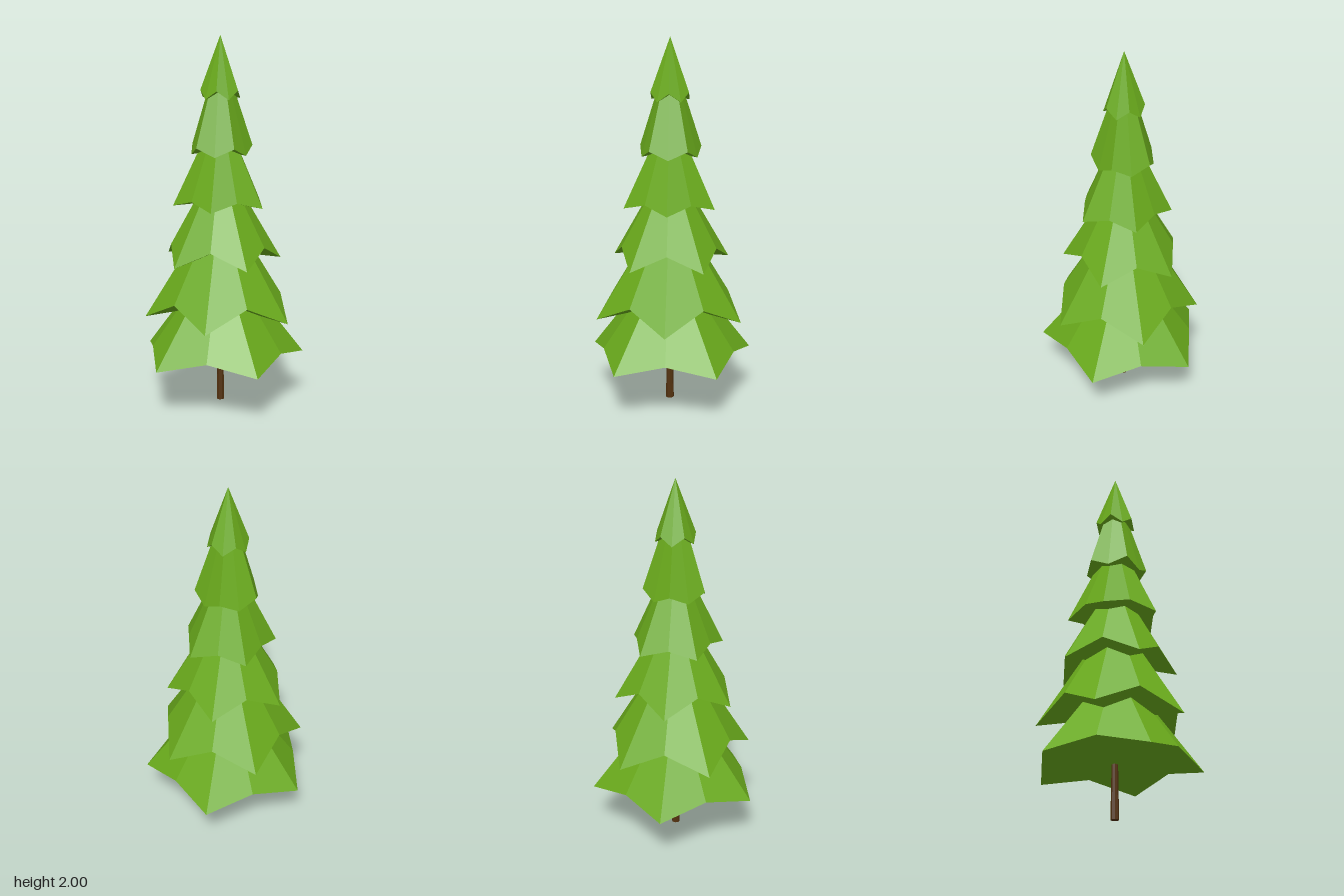
import * as THREE from 'three';

const AXIS_Z = -0.025;

// A ten-sided skirt of branches: five corners alternate with five edge middles.
function makeTier({ cornerR, cornerY, midR, midY, apexY, turned }) {
  const ring = [];
  for (let i = 0; i < 10; i++) {
    const a = (i + (turned ? 1 : 0)) * Math.PI / 5;
    const corner = i % 2 === 0;
    const r = corner ? cornerR : midR;
    ring.push([Math.sin(a) * r, corner ? cornerY : midY, Math.cos(a) * r]);
  }
  const apex = [0, apexY, 0];
  const base = [0, (cornerY + midY) / 2, 0];
  const pos = [];
  ring.forEach((p, i) => {
    const q = ring[(i + 1) % 10];
    pos.push(...p, ...q, ...apex, ...q, ...p, ...base);
  });
  const geo = new THREE.BufferGeometry();
  geo.setAttribute('position', new THREE.Float32BufferAttribute(pos, 3));
  geo.computeVertexNormals();
  return geo;
}

export function createModel() {
  const tree = new THREE.Group();
  tree.name = 'pineTree';
  const leaf = new THREE.MeshStandardMaterial({ color: 0x6aab1c, flatShading: true });
  const bark = new THREE.MeshStandardMaterial({ color: 0x54320f, flatShading: true });

  // Branch tiers, bottom to top
  const c36 = Math.cos(Math.PI / 5);
  const tiers = [
    { cornerR: 0.46, cornerY: 0.26, midR: 0.46 * c36, midY: 0.32, apexY: 0.86 },
    { cornerR: 0.41, cornerY: 0.49, midR: 0.41 * c36, midY: 0.6, apexY: 1.15, turned: true },
    { cornerR: 0.33, cornerY: 0.8, midR: 0.33 * c36, midY: 0.89, apexY: 1.37 },
    { cornerR: 0.255, cornerY: 1.1, midR: 0.255 * c36, midY: 1.14, apexY: 1.64, turned: true },
    { cornerR: 0.172, cornerY: 1.42, midR: 0.155, midY: 1.375, apexY: 1.94 },
    { cornerR: 0.106, cornerY: 1.67, midR: 0.106, midY: 1.715, apexY: 2 },
  ];
  tiers.forEach((t, i) => {
    const mesh = new THREE.Mesh(makeTier(t), leaf);
    mesh.name = `branchTier${i + 1}`;
    mesh.position.z = AXIS_Z;
    tree.add(mesh);
  });

  // Tapered trunk
  const trunk = new THREE.Mesh(new THREE.CylinderGeometry(0.016, 0.022, 0.34, 8), bark);
  trunk.name = 'trunk';
  trunk.position.set(0, 0.17, AXIS_Z);
  tree.add(trunk);

  return tree;
}
